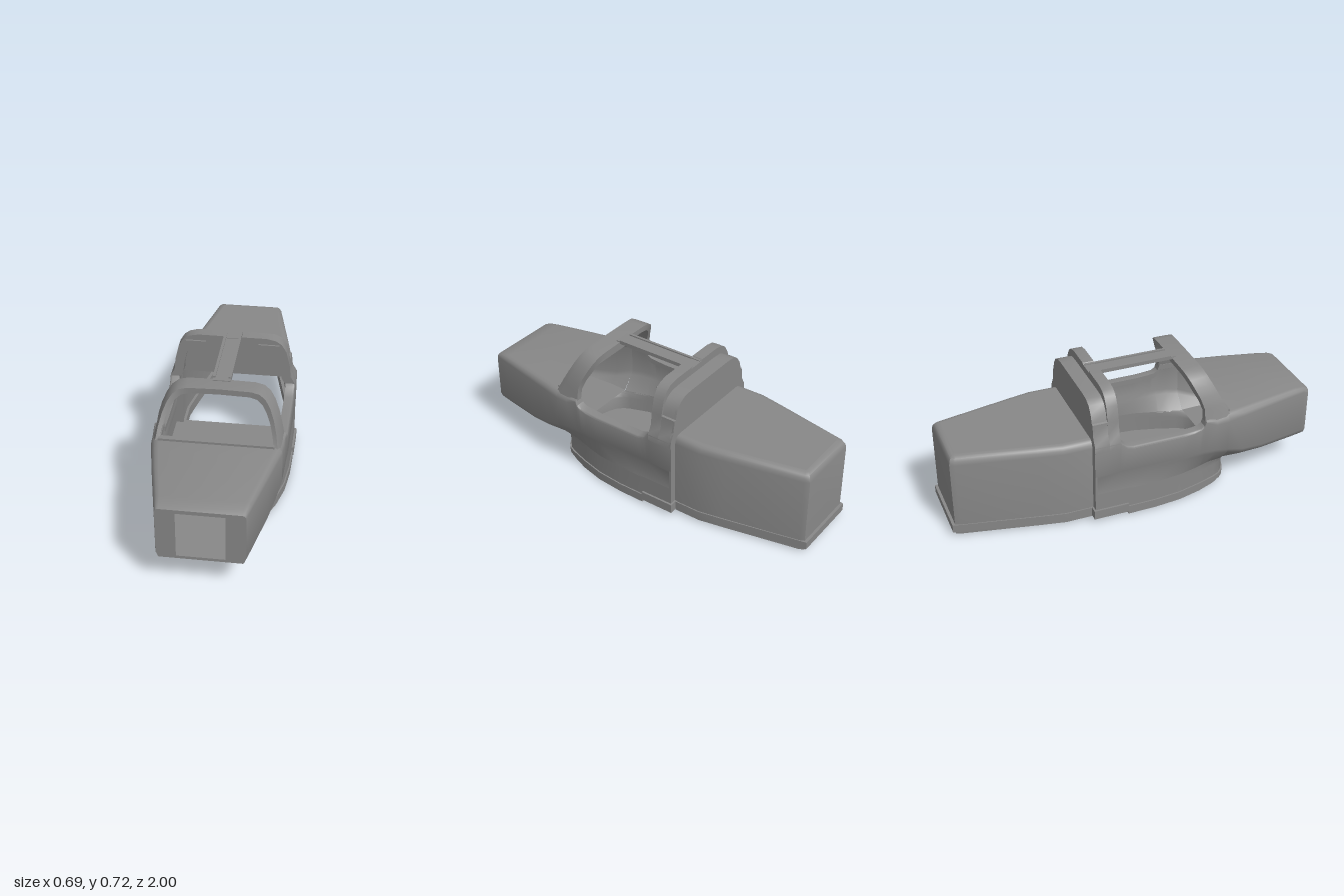
import * as THREE from 'three';
import { toCreasedNormals } from 'three/addons/utils/BufferGeometryUtils.js';

const material = new THREE.MeshStandardMaterial({ color: 0x888888, side: THREE.DoubleSide });

function add(group, name, geometry) {
  const mesh = new THREE.Mesh(geometry, material);
  mesh.name = name;
  group.add(mesh);
  return mesh;
}

// Skin over rows of [x, y, z] points; closed joins the last point to the first
function loft(rows, closed = false, crease = 0.6) {
  const n = rows[0].length, index = [];
  for (let i = 0; i < rows.length - 1; i++) {
    for (let j = 0; j < (closed ? n : n - 1); j++) {
      const k = (j + 1) % n, a = i * n + j, b = i * n + k, c = a + n, d = b + n;
      index.push(a, c, b, b, c, d);
    }
  }
  const geo = new THREE.BufferGeometry();
  geo.setAttribute('position', new THREE.Float32BufferAttribute(rows.flat(2), 3));
  geo.setIndex(index);
  return toCreasedNormals(geo, crease);
}

const mirror = (pts) => [...pts, ...pts.filter((p) => p[0] > 0).reverse().map(([x, ...r]) => [-x, ...r])];
const shapeOf = (pts) => new THREE.Shape(pts.map((p) => new THREE.Vector2(p[0], p[1])));

// Plan outline of [x, z] points raised from y0 to y1
function slab(pts, y0, y1, hole) {
  const flip = (list) => list.map(([x, z]) => [x, -z]);
  const shape = shapeOf(flip(pts));
  if (hole) shape.holes.push(shapeOf(flip(hole)));
  const geo = new THREE.ExtrudeGeometry(shape, { depth: y1 - y0, bevelEnabled: false });
  return toCreasedNormals(geo.rotateX(-Math.PI / 2).translate(0, y0, 0), 0.6);
}

function box(group, name, w, h, d, x, y, z) {
  add(group, name, new THREE.BoxGeometry(w, h, d)).position.set(x, y, z);
}

// Half section of the upper body, from the lower chamfer to the top shoulder
function section({ z, x, xc, yb, yc, yt, r }) {
  return [[xc, yb, z], [x - 0.01, yc - 0.015, z], [x, yc + 0.01, z], [x, yt - r, z],
    [x - r * 0.12, yt - r * 0.5, z], [x - r * 0.5, yt - r * 0.12, z], [x - r, yt, z]];
}

// Arch band between an outer outline and a shrunken inner one
function arch(pts, t, depth, z) {
  const base = pts[0][1];
  const inner = pts.map(([x, y]) => [x * (1 - t / 0.33), base + (y - base) * (1 - t / 0.3)]);
  const shape = shapeOf([...mirror(pts), ...mirror(inner).reverse()]);
  return toCreasedNormals(new THREE.ExtrudeGeometry(shape, { depth, bevelEnabled: false }).translate(0, 0, z), 0.6);
}

export function createModel() {
  const model = new THREE.Group();
  model.name = 'vehicleBody';

  // Nose: tapering hollow box with a rectangular opening
  const nose = [
    { z: 1, x: 0.215, xc: 0.2, yb: 0.165, yc: 0.185, yt: 0.45, r: 0.02 },
    { z: 0.97, x: 0.222, xc: 0.207, yb: 0.165, yc: 0.185, yt: 0.462, r: 0.025 },
    { z: 0.92, x: 0.233, xc: 0.217, yb: 0.165, yc: 0.186, yt: 0.467, r: 0.03 },
    { z: 0.7, x: 0.282, xc: 0.253, yb: 0.165, yc: 0.195, yt: 0.47, r: 0.035 },
    { z: 0.57, x: 0.309, xc: 0.26, yb: 0.165, yc: 0.215, yt: 0.47, r: 0.038 },
    { z: 0.47, x: 0.33, xc: 0.255, yb: 0.165, yc: 0.25, yt: 0.47, r: 0.04 },
  ];
  add(model, 'nose', loft(nose.map((s) => mirror(section(s))), true));
  const face = shapeOf(mirror(section(nose[0])));
  face.holes.push(shapeOf([[-0.118, 0.18], [-0.118, 0.43], [0.118, 0.43], [0.118, 0.18]]));
  add(model, 'noseFace', new THREE.ShapeGeometry(face)).position.z = 1;

  // Cabin sides, dipping along the door sills: z, x, chamfer x, chamfer y, top y
  const sides = [
    [0.47, 0.33, 0.255, 0.25, 0.47], [0.4, 0.334, 0.265, 0.265, 0.47], [0.335, 0.336, 0.284, 0.27, 0.47],
    [0.325, 0.336, 0.287, 0.27, 0.44], [0.305, 0.337, 0.293, 0.27, 0.425], [0.27, 0.338, 0.302, 0.27, 0.42],
    [0.2, 0.338, 0.319, 0.27, 0.415], [0.05, 0.338, 0.334, 0.27, 0.415], [-0.07, 0.338, 0.336, 0.27, 0.415],
    [-0.105, 0.338, 0.336, 0.27, 0.425], [-0.13, 0.338, 0.336, 0.27, 0.445], [-0.142, 0.338, 0.336, 0.27, 0.462],
    [-0.28, 0.338, 0.336, 0.27, 0.462],
  ];
  for (const s of [1, -1]) {
    const rows = sides.map(([z, x, xc, yc, yt]) => {
      const pts = section({ z, x, xc, yc, yt, yb: 0.16, r: z > 0.34 ? 0.04 : 0.012 });
      pts.push([x - 0.05, yt, z], [x - 0.05, yt - 0.03, z]);
      return pts.map(([px, py, pz]) => [s * px, py, pz]);
    });
    add(model, 'cabinSide', loft(rows));
  }

  // Lower hull with a rounded front that flares into the nose underside
  const hullHalf = [[0.336, -0.28], [0.336, -0.1], [0.334, 0.05], [0.319, 0.2], [0.286, 0.33], [0.252, 0.43],
    [0.235, 0.465], [0.205, 0.495], [0.165, 0.515], [0.125, 0.527], [0.08, 0.533], [0, 0.535]];
  const hull = mirror(hullHalf);
  const levels = [[0.02, 0], [0.125, 0], [0.14, 0.008], [0.155, 0.025], [0.165, 0.05]];
  add(model, 'lowerHull', loft(levels.map(([y, off]) => hull.map(([x, z]) => {
    const f = THREE.MathUtils.smoothstep(z, 0.3, 0.53);
    return [x, y, z + off * f];
  }))));
  const floor = mirror(hullHalf.slice(1).map(([x, z]) => [x + (x ? 0.007 : 0), z + (z > 0.4 ? 0.004 : 0)]));
  add(model, 'floorRim', slab(floor, 0.02, 0.05));
  add(model, 'floorPan', slab(floor.map(([x, z]) => [x, z > 0.4 ? z - 0.02 : z]), 0.003, 0.02));
  box(model, 'floorHatch', 0.18, 0.01, 0.11, 0, 0.005, 0.435);
  box(model, 'rearFloor', 0.694, 0.05, 0.19, 0, 0.045, -0.195);

  // Rear body: tapering shell, open underneath
  const rear = (o) => mirror([[0.3 - o, -0.28], [0.3 - o, -0.43], [0.275 - o, -0.56],
    [0.192 - o, -0.96 + o * 0.4], [0.18 - o, -0.985 + o]]);
  const rearLevels = [[0.01, 0], [0.43, 0], [0.45, 0.004], [0.464, 0.012], [0.472, 0.025], [0.474, 0.04]];
  add(model, 'rearBody', loft(rearLevels.map(([y, o]) => rear(o).map(([x, z]) => [x, y, z]))));
  add(model, 'rearDeck', slab(rear(0.04), 0.47, 0.474));
  const flange = mirror([[0.306, -0.28], [0.306, -0.43], [0.281, -0.56], [0.188, -1]]);
  const opening = mirror([[0.285, -0.295], [0.285, -0.43], [0.26, -0.56], [0.168, -0.97]]);
  add(model, 'rearFlange', slab(flange, 0.025, 0.068, opening));
  add(model, 'rearLip', slab(rear(0.004), 0.01, 0.025, opening));
  for (const s of [1, -1]) box(model, 'rearStep', 0.04, 0.44, 0.012, s * 0.316, 0.24, -0.274);

  // Rear roof hoop, its lower shoulder and the back wall
  const hoop = [[0.34, 0.42], [0.337, 0.46], [0.314, 0.5], [0.307, 0.57], [0.288, 0.65],
    [0.262, 0.693], [0.23, 0.714], [0.18, 0.724], [0.05, 0.724], [0.044, 0.716]];
  add(model, 'rearHoop', arch(hoop, 0.05, 0.06, -0.2));
  const shoulder = [[0.34, 0.42], [0.337, 0.46], [0.314, 0.5], [0.306, 0.57], [0.296, 0.574], [0.282, 0.62],
    [0.255, 0.657], [0.215, 0.676], [0.16, 0.68]];
  add(model, 'rearShoulder', arch(shoulder, 0.03, 0.08, -0.28));
  add(model, 'backWall', new THREE.ExtrudeGeometry(shapeOf(mirror(shoulder)), { depth: 0.012, bevelEnabled: false }))
    .position.z = -0.28;
  for (const s of [1, -1]) box(model, 'roofCatch', 0.11, 0.03, 0.04, s * 0.195, 0.675, -0.15);

  // Windscreen frame: leaning arch, narrower in front, with a broad pillar on each side
  const frame = [[0.335, 0.43], [0.322, 0.48], [0.313, 0.53], [0.296, 0.59], [0.274, 0.64],
    [0.248, 0.677], [0.215, 0.7], [0.17, 0.709], [0, 0.712]];
  const front = (y) => 0.48 - (y - 0.47) * 0.49;
  const back = (y) => 0.332 - Math.max(0, y - 0.55) * 0.45;
  const corners = frame.map(([x, y], i) => {
    const t = Math.min(1, i / 4), ix = x * 0.9, iy = y - 0.03 * t;
    return [[x * 0.94, y, front(y)], [x * 0.97, y, front(y) - 0.03], [x, y - 0.004 * t, back(y)],
      [ix, iy - 0.004 * t, back(y)], [ix * 0.98, iy, front(y)]];
  });
  const mirrored = corners.slice(0, -1).reverse().map((row) => row.map(([x, y, z]) => [-x, y, z]));
  add(model, 'windscreenFrame', loft([...corners, ...mirrored], true));
  box(model, 'windscreenSill', 0.58, 0.016, 0.03, 0, 0.474, 0.475);

  // Central roof bar with raised edges
  box(model, 'roofBar', 0.09, 0.014, 0.48, 0, 0.706, 0.04);
  for (const s of [1, -1]) box(model, 'roofBarEdge', 0.014, 0.02, 0.45, s * 0.04, 0.71, 0.03);

  return model;
}
